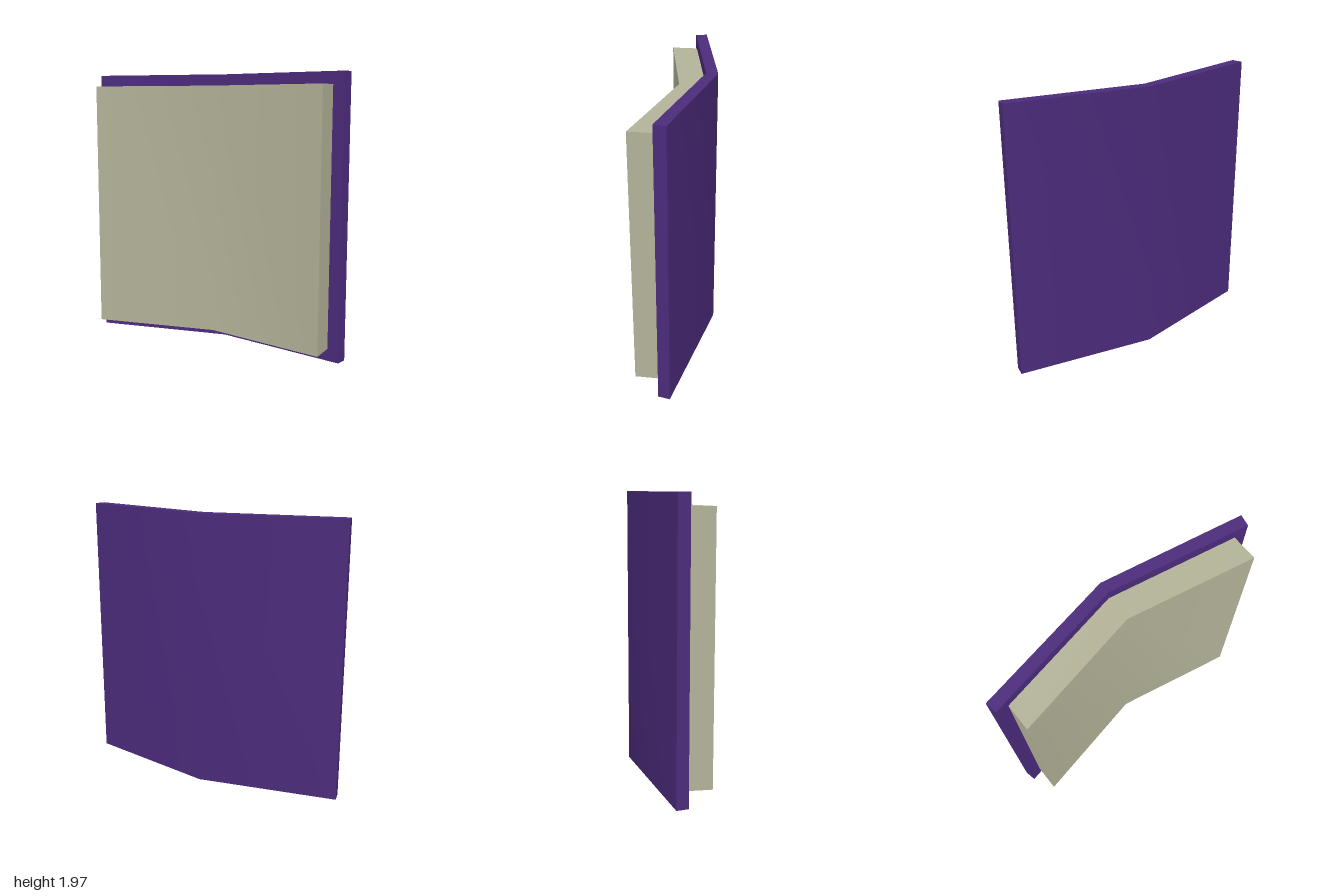
import * as THREE from 'three';
import { toCreasedNormals } from 'three/addons/utils/BufferGeometryUtils.js';

// Extrudes a plan outline of [x, z] points upward from y = bottom, smooth across the shallow fold.
function slab(name, outline, bottom, height, color) {
  const shape = new THREE.Shape(outline.map(([x, z]) => new THREE.Vector2(x, -z)));
  const geometry = new THREE.ExtrudeGeometry(shape, { depth: height, bevelEnabled: false });
  geometry.rotateX(-Math.PI / 2);
  geometry.translate(0, bottom, 0);
  const mesh = new THREE.Mesh(
    toCreasedNormals(geometry, 0.6),
    new THREE.MeshStandardMaterial({ color })
  );
  mesh.name = name;
  return mesh;
}

// V-shaped outline: back and front edges, each given by its side point and its fold depth.
function foldedOutline([backX, backZ], backFold, [frontX, frontZ], frontFold) {
  return [
    [-backX, backZ], [0, backFold], [backX, backZ],
    [frontX, frontZ], [0, frontFold], [-frontX, frontZ],
  ];
}

export function createModel() {
  const book = new THREE.Group();
  book.name = 'openBook';
  // Cover boards, folded at the spine
  book.add(slab('cover', foldedOutline([1, -0.032], -0.222, [0.984, 0.05], -0.14), 0, 1.97, 0x4b2b7b));
  // Page block, lying against the inside of the cover
  book.add(slab('pages', foldedOutline([0.9, 0.034], -0.14, [0.9, 0.222], 0.043), 0.085, 1.8, 0xb3b298));
  return book;
}
